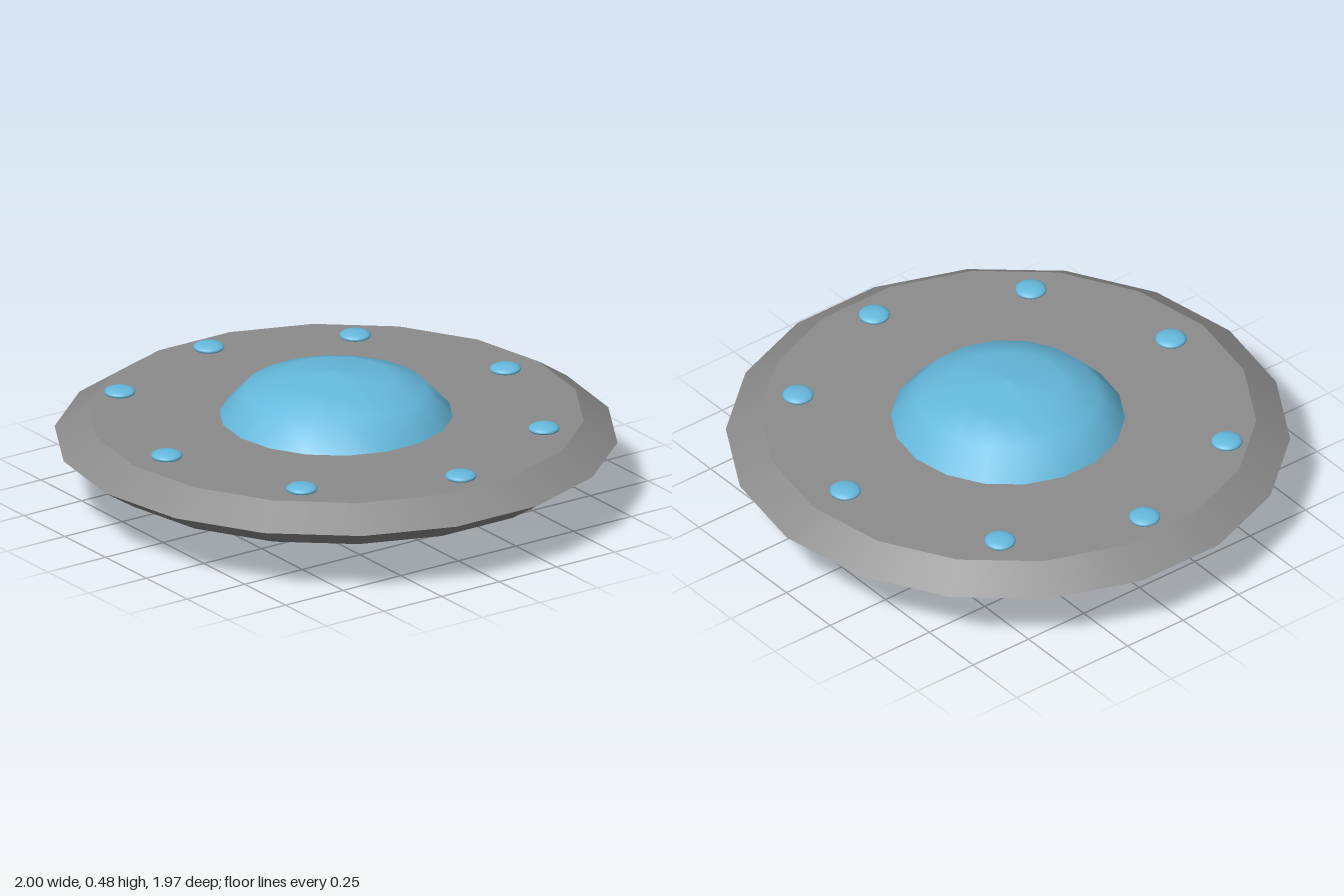
import * as THREE from 'three';

const SIDES = 18;

export function createModel() {
  const model = new THREE.Group();
  const hull = new THREE.MeshStandardMaterial({ name: 'hull grey', color: 0x8c8c8c });
  const glass = new THREE.MeshStandardMaterial({ name: 'light blue', color: 0x66b9dd });

  // Revolve a bottom-to-top profile, with a corner on the x axis
  const revolve = (name, points, material) => {
    const profile = points.map(([r, y]) => new THREE.Vector2(r, y));
    const mesh = new THREE.Mesh(new THREE.LatheGeometry(profile, SIDES, Math.PI / 2), material);
    mesh.name = name;
    model.add(mesh);
  };

  // Disc: separate strips keep the edges between them sharp
  revolve('discUnderside', [[0, 0.166], [0.88, 0.166]], hull);
  revolve('lowerRim', [[0.88, 0.166], [1, 0.243]], hull);
  revolve('upperRim', [[1, 0.243], [0.88, 0.322]], hull);
  revolve('discTop', [[0.88, 0.322], [0, 0.322]], hull);

  // Cabin: one lens-shaped body passing through the disc
  revolve('cabinDome', [
    [0, 0], [0.2, 0.022], [0.325, 0.065], [0.415, 0.166], [0.44, 0.243],
    [0.415, 0.322], [0.325, 0.418], [0.2, 0.46], [0, 0.482],
  ], glass);

  // Deck lights, in a slightly uneven ring
  const lightGeometry = new THREE.SphereGeometry(0.056, 20, 12);
  lightGeometry.scale(1, 0.32, 1);
  const spots = [
    [0, -0.78], [0.49, -0.575], [0.735, 0], [0.51, 0.555],
    [0, 0.765], [-0.53, 0.54], [-0.735, 0], [-0.51, -0.605],
  ];
  const lights = new THREE.Group();
  lights.name = 'deckLights';
  spots.forEach(([x, z], i) => {
    const light = new THREE.Mesh(lightGeometry, glass);
    light.name = `deckLight${i + 1}`;
    light.position.set(x, 0.328, z);
    lights.add(light);
  });
  model.add(lights);

  return model;
}
